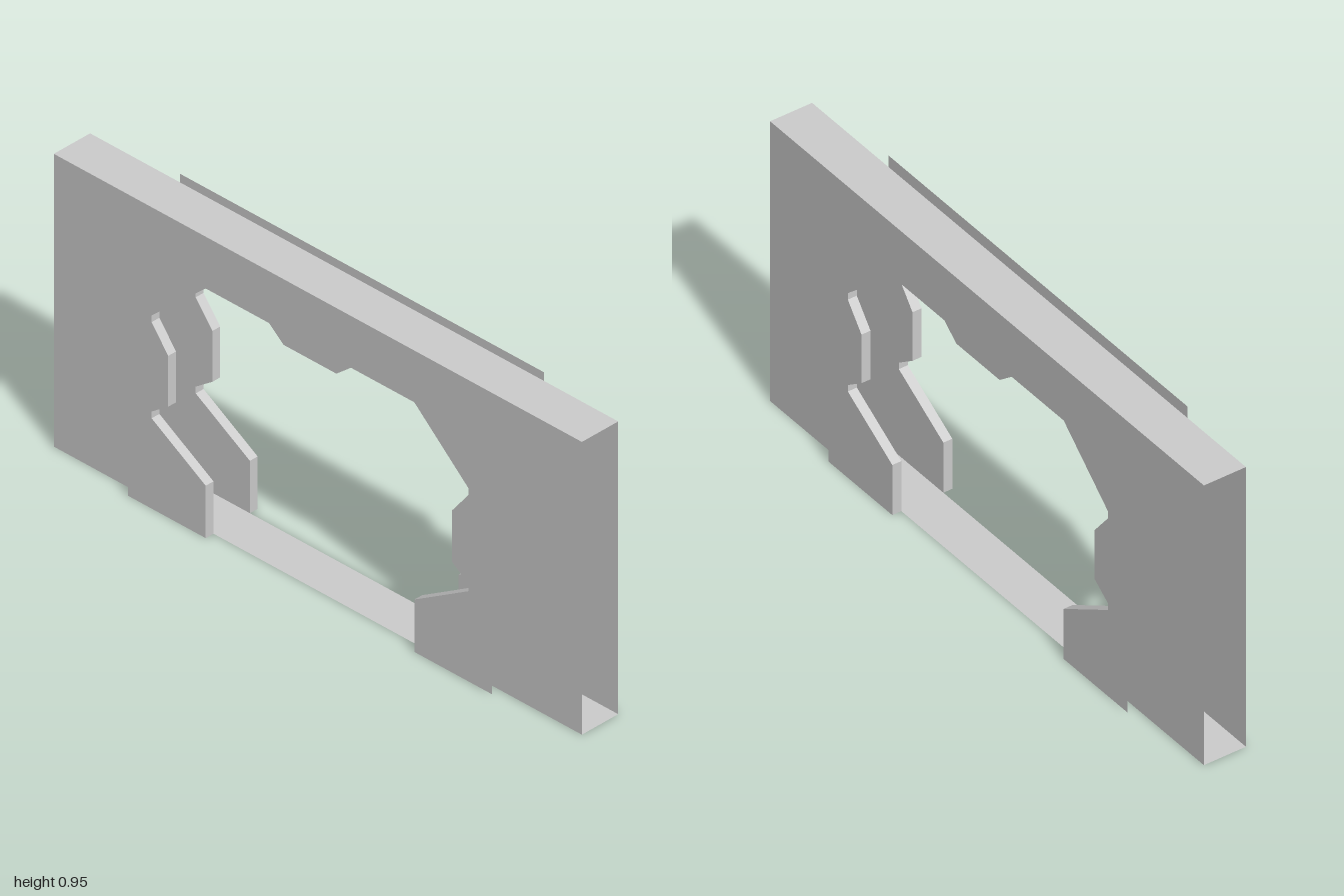
import * as THREE from 'three';

const H = 0.95, W = 1, PANEL_W = 0.69, Z_IN = 0.07, Z_OUT = 0.1;

// Right half of the opening, from the floor up to the middle
const half = [
  [0.395, 0], [0.395, 0.17], [0.6, 0.293], [0.6, 0.315], [0.537, 0.36], [0.537, 0.525],
  [0.6, 0.605], [0.6, 0.627], [0.395, 0.81], [0.155, 0.81], [0.1, 0.765],
];
const opening = [...half, ...half.map(([x, y]) => [-x, y]).reverse()];

export function createModel() {
  const group = new THREE.Group();
  const material = new THREE.MeshStandardMaterial({
    color: 0xcccccc, side: THREE.DoubleSide, flatShading: true,
  });
  const add = (geometry, name) => {
    const mesh = new THREE.Mesh(geometry, material);
    mesh.name = name;
    group.add(mesh);
    return mesh;
  };

  // Flat sheet with the opening cut up from its bottom edge
  const sheet = (w) => new THREE.ShapeGeometry(new THREE.Shape(
    [[w, 0], [w, H], [-w, H], [-w, 0], ...[...opening].reverse(), ]
      .map(([x, y]) => new THREE.Vector2(x, y))));

  // Strip of quads that lines the opening between two depths
  const lining = () => {
    const positions = [], index = [];
    for (let i = 0; i < opening.length - 1; i++) {
      const [ax, ay] = opening[i], [bx, by] = opening[i + 1], n = i * 4;
      positions.push(ax, ay, Z_IN, bx, by, Z_IN, bx, by, Z_OUT, ax, ay, Z_OUT);
      index.push(n, n + 1, n + 2, n, n + 2, n + 3);
    }
    const geometry = new THREE.BufferGeometry();
    geometry.setAttribute('position', new THREE.Float32BufferAttribute(positions, 3));
    geometry.setIndex(index);
    geometry.computeVertexNormals();
    return geometry;
  };

  // Front and back: wall, raised panel and opening lining
  for (const [side, turn] of [['front', 0], ['back', Math.PI]]) {
    const parts = [
      add(sheet(W).translate(0, 0, Z_IN), side + 'Wall'),
      add(sheet(PANEL_W).translate(0, 0, Z_OUT), side + 'Panel'),
      add(lining(), side + 'OpeningLining'),
    ];
    parts.forEach((part) => { part.rotation.y = turn; });
  }

  // Top and bottom close the sleeve; its two ends stay open
  const strip = () => new THREE.PlaneGeometry(2 * W, 2 * Z_IN);
  add(strip().rotateX(-Math.PI / 2).translate(0, H, 0), 'top');
  add(strip().rotateX(Math.PI / 2), 'bottom');

  return group;
}
